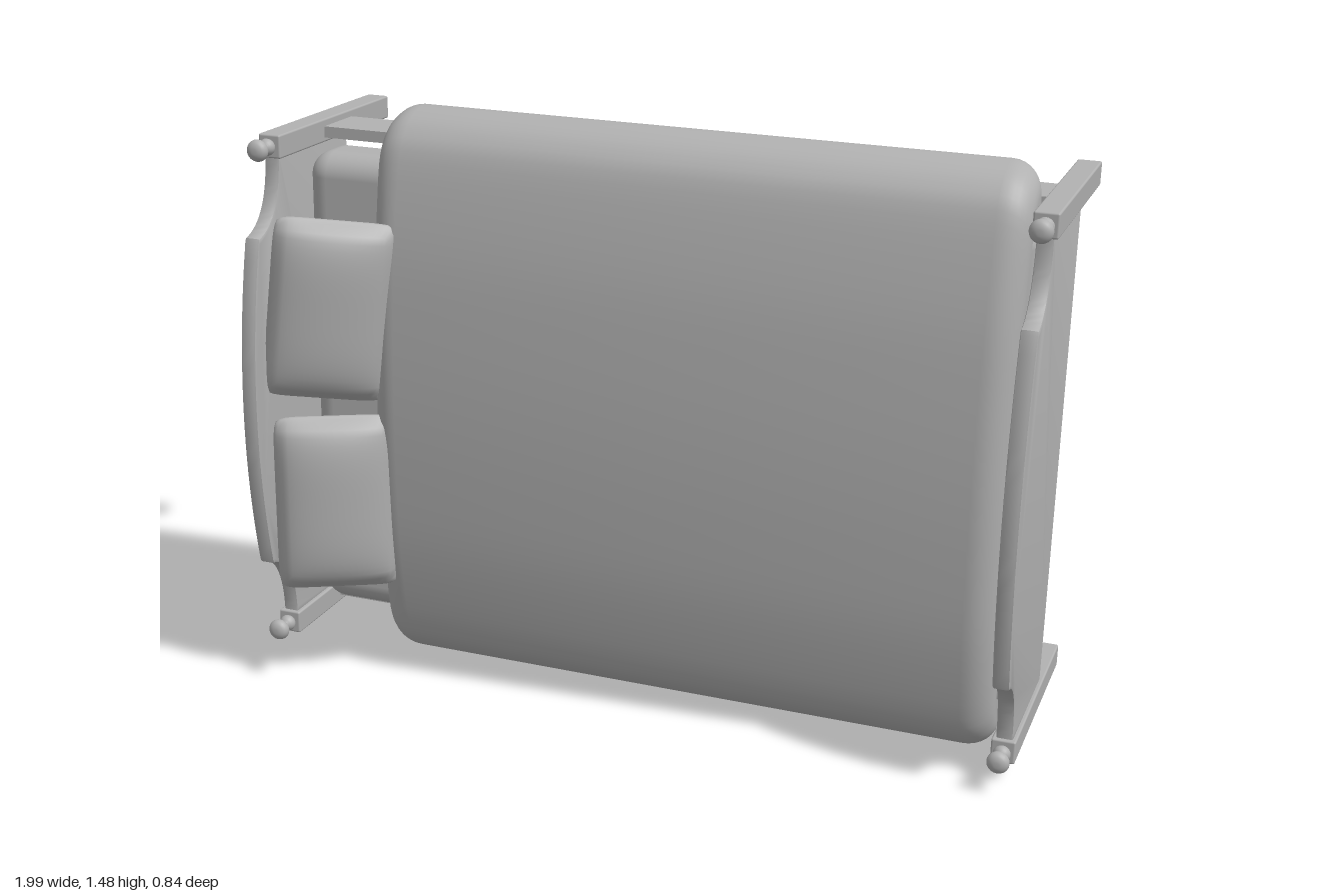
import * as THREE from 'three';
import { mergeVertices, toCreasedNormals } from 'three/addons/utils/BufferGeometryUtils.js';
import { RoundedBoxGeometry } from 'three/addons/geometries/RoundedBoxGeometry.js';

// Bed axes: x runs head to foot, y across the bed, z up from the floor.
const END = 0.934, SIDE = 0.625;

// Arched end board with scooped shoulders, drawn across the bed and extruded lengthwise
function boardGeometry() {
  const s = new THREE.Shape();
  s.moveTo(-0.6, -0.132);
  s.lineTo(0.6, -0.132);
  s.lineTo(0.6, 0.21);
  s.quadraticCurveTo(0.445, 0.215, 0.42, 0.316);
  s.lineTo(0.41, 0.32);
  s.quadraticCurveTo(0, 0.41, -0.41, 0.32);
  s.lineTo(-0.42, 0.316);
  s.quadraticCurveTo(-0.445, 0.215, -0.6, 0.21);
  s.closePath();
  const g = new THREE.ExtrudeGeometry(s, {
    depth: 0.028, curveSegments: 20, bevelEnabled: true,
    bevelThickness: 0.006, bevelSize: 0.006, bevelOffset: -0.006, bevelSegments: 2,
  });
  g.translate(0, 0, -0.014);
  g.applyMatrix4(new THREE.Matrix4().makeBasis(
    new THREE.Vector3(0, 1, 0), new THREE.Vector3(0, 0, 1), new THREE.Vector3(1, 0, 0)));
  return toCreasedNormals(g, 0.6);
}

// Arched quilt section lofted along the bed, rounding in at both ends
function quiltGeometry(x0, x1) {
  const half = [[0.64, -0.03], [0.695, -0.028], [0.716, 0], [0.705, 0.06], [0.67, 0.112],
    [0.6, 0.148], [0.4, 0.185], [0.2, 0.2]];
  const pts = [...half, [0, 0.205], ...half.slice().reverse().map(([b, c]) => [-b, c])];
  const section = new THREE.SplineCurve(pts.map(([b, c]) => new THREE.Vector2(b, c))).getPoints(64);
  const n = section.length, r = 0.075, mid = 0.07;
  const stations = [];
  for (let i = 0; i <= 8; i++) {
    const t = (i / 8) * Math.PI / 2;
    stations.push([r * (1 - Math.cos(t)), r * (1 - Math.sin(t))]);
  }
  const rings = [...stations.map(([d, inset]) => [x0 + d, inset]),
    ...stations.slice().reverse().map(([d, inset]) => [x1 - d, inset])];
  const pos = [], idx = [];
  for (const [x, inset] of rings) {
    const sy = 1 - inset / 0.716, sz = 1 - inset / 0.135;
    for (const p of section) pos.push(x, p.x * sy, mid + (p.y - mid) * sz);
  }
  for (let i = 0; i < rings.length - 1; i++) {
    for (let j = 0; j < n; j++) {
      const k = (j + 1) % n, a = i * n + j, b = i * n + k;
      idx.push(a, b, b + n, a, b + n, a + n);
    }
  }
  const last = (rings.length - 1) * n, c0 = pos.length / 3;
  pos.push(x0, 0, mid, x1, 0, mid);
  for (let j = 0; j < n; j++) {
    const k = (j + 1) % n;
    idx.push(c0, k, j, c0 + 1, last + j, last + k);
  }
  const g = new THREE.BufferGeometry();
  g.setAttribute('position', new THREE.Float32BufferAttribute(pos, 3));
  g.setIndex(idx);
  return toCreasedNormals(g, 0.9);
}

// Cushion that thins towards its edges, with slightly rounded corners
function pillowGeometry(w, h, t) {
  let g = new THREE.BoxGeometry(2, 2, 2, 20, 24, 4);
  const p = g.attributes.position;
  for (let i = 0; i < p.count; i++) {
    const u = p.getX(i), v = p.getY(i), z = p.getZ(i);
    const puff = 0.14 + 0.86 * Math.sqrt((1 - u * u) * (1 - v ** 4));
    const corner = 1 - 0.05 * (u * v) ** 8;
    const bulge = 1 - 0.04 * z * z;
    p.setXYZ(i, u * corner * bulge * w / 2, v * corner * bulge * h / 2, z * puff * t / 2);
  }
  g.deleteAttribute('uv');
  g.deleteAttribute('normal');
  g = mergeVertices(g);
  g.computeVertexNormals();
  return g;
}

export function createModel() {
  const grey = new THREE.MeshStandardMaterial({ color: 0xb0b0b0 });
  grey.name = 'plain grey';
  const bed = new THREE.Group();
  bed.name = 'bed';
  const add = (name, geometry, x, y, z) => {
    const m = new THREE.Mesh(geometry, grey);
    m.name = name;
    m.position.set(x, y, z);
    bed.add(m);
    return m;
  };

  // Turned knob on top of each post
  const knob = new THREE.SplineCurve([[0.016, 0], [0.021, 0.011], [0.017, 0.022], [0.01, 0.029],
    [0.012, 0.035], [0.023, 0.044], [0.027, 0.055], [0.022, 0.066], [0.011, 0.072], [0, 0.073]]
    .map(([r, h]) => new THREE.Vector2(r, h))).getPoints(27);
  knob.forEach((p) => { p.x = Math.max(p.x, 0); });
  const finial = new THREE.LatheGeometry(knob, 20).rotateX(Math.PI / 2);
  const post = new RoundedBoxGeometry(0.058, 0.058, 0.566, 2, 0.005);
  const board = boardGeometry();

  // Frame: end boards, corner posts and side rails
  for (const end of [-1, 1]) {
    const label = end < 0 ? 'head' : 'foot';
    add(label + 'board', board, end * END, 0, 0);
    for (const side of [-1, 1]) {
      add(label + 'Post', post, end * END, side * SIDE, -0.063);
      add(label + 'Finial', finial, end * END, side * SIDE, 0.219);
    }
  }
  for (const side of [-1, 1]) {
    add('sideRail', new THREE.BoxGeometry(2 * END - 0.05, 0.028, 0.142), 0, side * 0.622, -0.071);
  }

  // Bedding
  add('mattress', new RoundedBoxGeometry(1.8, 1.19, 0.17, 6, 0.06), 0, 0, 0.035);
  add('quilt', quiltGeometry(-0.7, 0.888), 0, 0, 0);
  const pillow = pillowGeometry(0.3, 0.46, 0.12);
  for (const [y, turn] of [[-0.262, 0], [0.238, -0.12]]) {
    const p = add('pillow', pillow, -0.775, y, 0.235);
    p.rotation.set(0, 0.5, turn, 'ZYX');
  }

  // Tip the bed onto its long side, slightly askew
  const X = new THREE.Vector3(0.998, -0.031, 0.058).normalize();
  const Z = new THREE.Vector3().crossVectors(X, new THREE.Vector3(0.031, 0.999, 0.03)).normalize();
  const Y = new THREE.Vector3().crossVectors(Z, X);
  bed.quaternion.setFromRotationMatrix(new THREE.Matrix4().makeBasis(X, Y, Z));

  // Stand it on the ground, centred
  const model = new THREE.Group();
  model.name = 'tippedBed';
  model.add(bed);
  model.updateMatrixWorld(true);
  const box = new THREE.Box3().setFromObject(model, true);
  const c = box.getCenter(new THREE.Vector3());
  bed.position.set(-c.x, -box.min.y, -c.z);
  return model;
}
